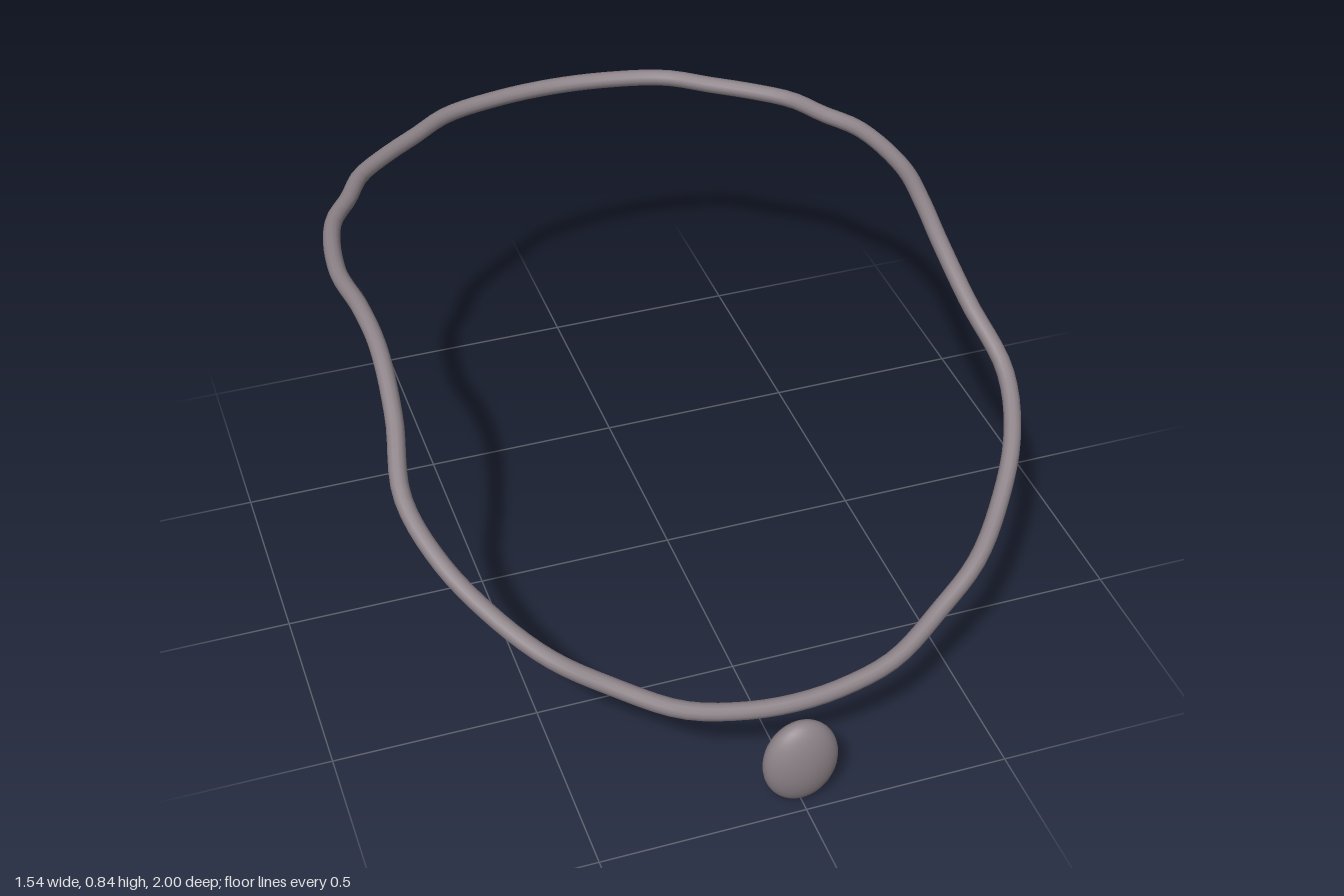
import * as THREE from 'three';

export function createModel() {
  const group = new THREE.Group();
  const metal = new THREE.MeshStandardMaterial({ color: 0x8c8287 });
  metal.name = 'warm grey metal';

  // Left half of the cord, from the nape round to the front
  const half = [
    [0, 0.817, -0.978], [0.16, 0.817, -0.964], [0.306, 0.817, -0.925],
    [0.41, 0.817, -0.85], [0.5, 0.817, -0.785], [0.59, 0.817, -0.705],
    [0.643, 0.817, -0.61], [0.705, 0.817, -0.51], [0.74, 0.817, -0.3],
    [0.722, 0.817, -0.13], [0.712, 0.788, 0], [0.722, 0.71, 0.17],
    [0.75, 0.614, 0.34], [0.707, 0.533, 0.49], [0.62, 0.45, 0.62],
    [0.52, 0.385, 0.725], [0.4, 0.328, 0.795], [0.26, 0.28, 0.868],
    [0.13, 0.261, 0.897], [0, 0.256, 0.907],
  ].map((p) => new THREE.Vector3(...p));

  // Mirror the inner points to close the loop
  const mirrored = half.slice(1, -1).reverse()
    .map((p) => new THREE.Vector3(-p.x, p.y, p.z));
  const path = new THREE.CatmullRomCurve3([...half, ...mirrored], true);
  const cord = new THREE.Mesh(new THREE.TubeGeometry(path, 160, 0.0215, 12, true), metal);
  cord.name = 'necklaceCord';
  group.add(cord);

  // Flattened oval pendant hanging at the front
  const pendant = new THREE.Mesh(new THREE.SphereGeometry(1, 32, 20), metal);
  pendant.name = 'pendant';
  pendant.scale.set(0.091, 0.116, 0.05);
  pendant.position.set(0, 0.116, 0.95);
  group.add(pendant);

  return group;
}
